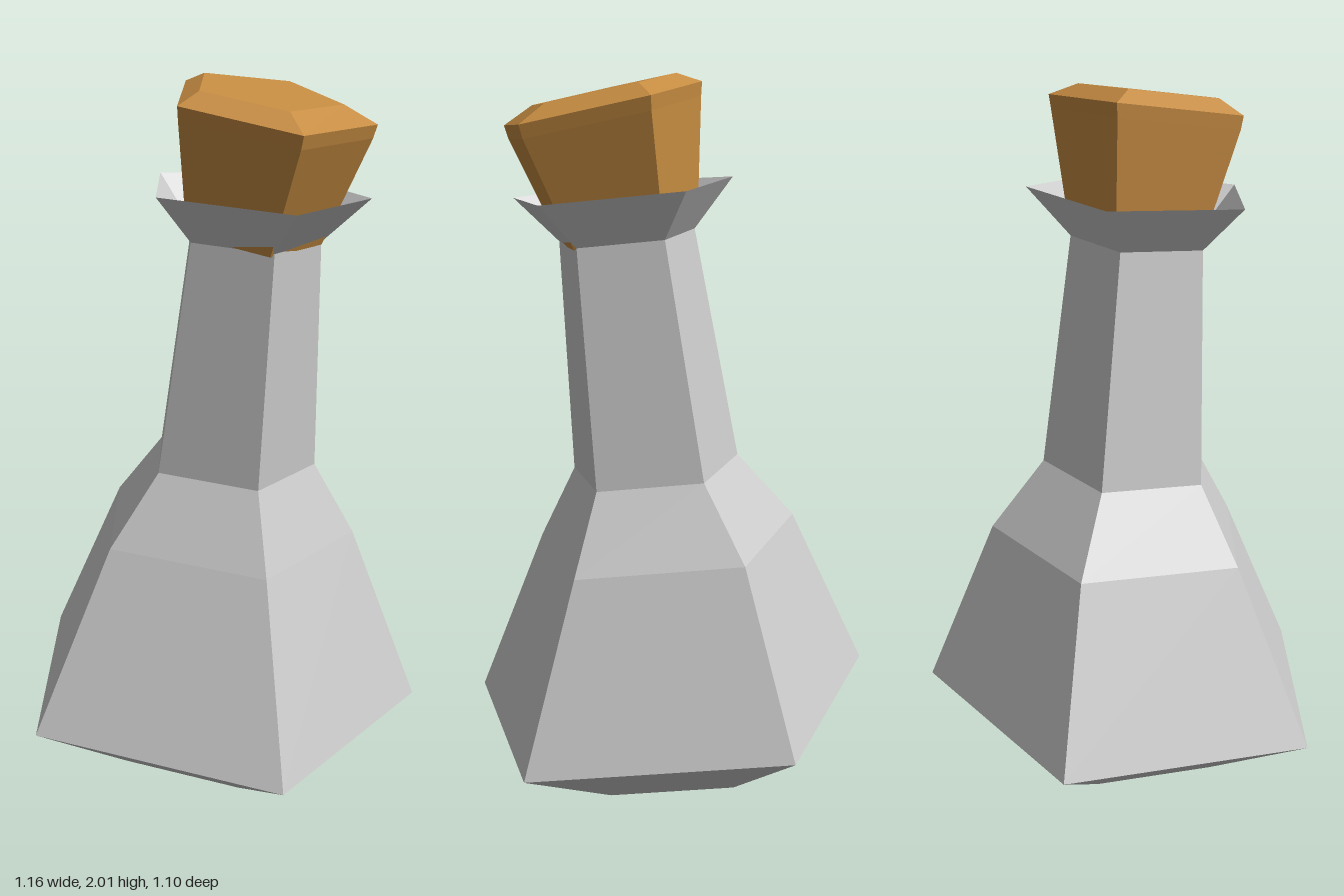
import * as THREE from 'three';

const SIDES = 5;

// A tilted pentagon: centre, radius, slope along x and z, twist; one corner faces the front
function ring([x, y, z, r], slopeX, slopeZ, twist) {
  return Array.from({ length: SIDES }, (_, i) => {
    const a = (i / SIDES) * Math.PI * 2 + twist;
    const dx = r * Math.sin(a), dz = r * Math.cos(a);
    return [x + dx, y + slopeX * dx + slopeZ * dz, z + dz];
  });
}

// Skin a stack of rings from bottom to top, with optional flat caps
function loft(stack, { slopeX, slopeZ, twist = 0, capTop = false }) {
  const rings = stack.map((s) => ring(s, slopeX, slopeZ, twist));
  const pos = [];
  const tri = (a, b, c) => pos.push(...a, ...b, ...c);
  for (let k = 0; k < rings.length - 1; k++) {
    const lo = rings[k], hi = rings[k + 1];
    for (let i = 0; i < SIDES; i++) {
      const j = (i + 1) % SIDES;
      tri(lo[i], lo[j], hi[j]);
      tri(lo[i], hi[j], hi[i]);
    }
  }
  const bottom = rings[0], top = rings[rings.length - 1];
  for (let i = 1; i < SIDES - 1; i++) {
    tri(bottom[0], bottom[i + 1], bottom[i]);
    if (capTop) tri(top[0], top[i], top[i + 1]);
  }
  const geo = new THREE.BufferGeometry();
  geo.setAttribute('position', new THREE.Float32BufferAttribute(pos, 3));
  geo.computeVertexNormals();
  return geo;
}

export function createModel() {
  const group = new THREE.Group();
  group.name = 'corkedBottle';

  // Leaning glass bottle, open at the flared lip
  const glass = new THREE.MeshStandardMaterial({
    color: 0xcccccc, flatShading: true, side: THREE.DoubleSide,
  });
  const bottle = new THREE.Mesh(loft([
    [-0.01, 0.03, -0.083, 0.295],   // base
    [0, 0.217, -0.06, 0.61],        // belly
    [0.03, 0.72, -0.062, 0.387],    // shoulder
    [0.045, 0.925, -0.035, 0.247],  // neck bottom
    [0.077, 1.575, 0.038, 0.197],   // neck top
    [0.085, 1.702, 0.05, 0.32],     // lip
  ], { slopeX: -0.039, slopeZ: -0.093 }), glass);
  bottle.name = 'bottle';
  group.add(bottle);

  // Tapered cork with a bevelled top, leaning further than the bottle
  const wood = new THREE.MeshStandardMaterial({ color: 0xc68c42, flatShading: true });
  const cork = new THREE.Mesh(loft([
    [0.075, 1.587, 0.036, 0.2],     // plug end
    [0.104, 1.888, 0.1, 0.279],     // under the rim
    [0.107, 1.925, 0.104, 0.286],   // rim
    [0.098, 1.964, 0.099, 0.207],   // bevelled top
  ], { slopeX: -0.09, slopeZ: -0.2, twist: -0.05, capTop: true }), wood);
  cork.name = 'cork';
  group.add(cork);

  return group;
}
